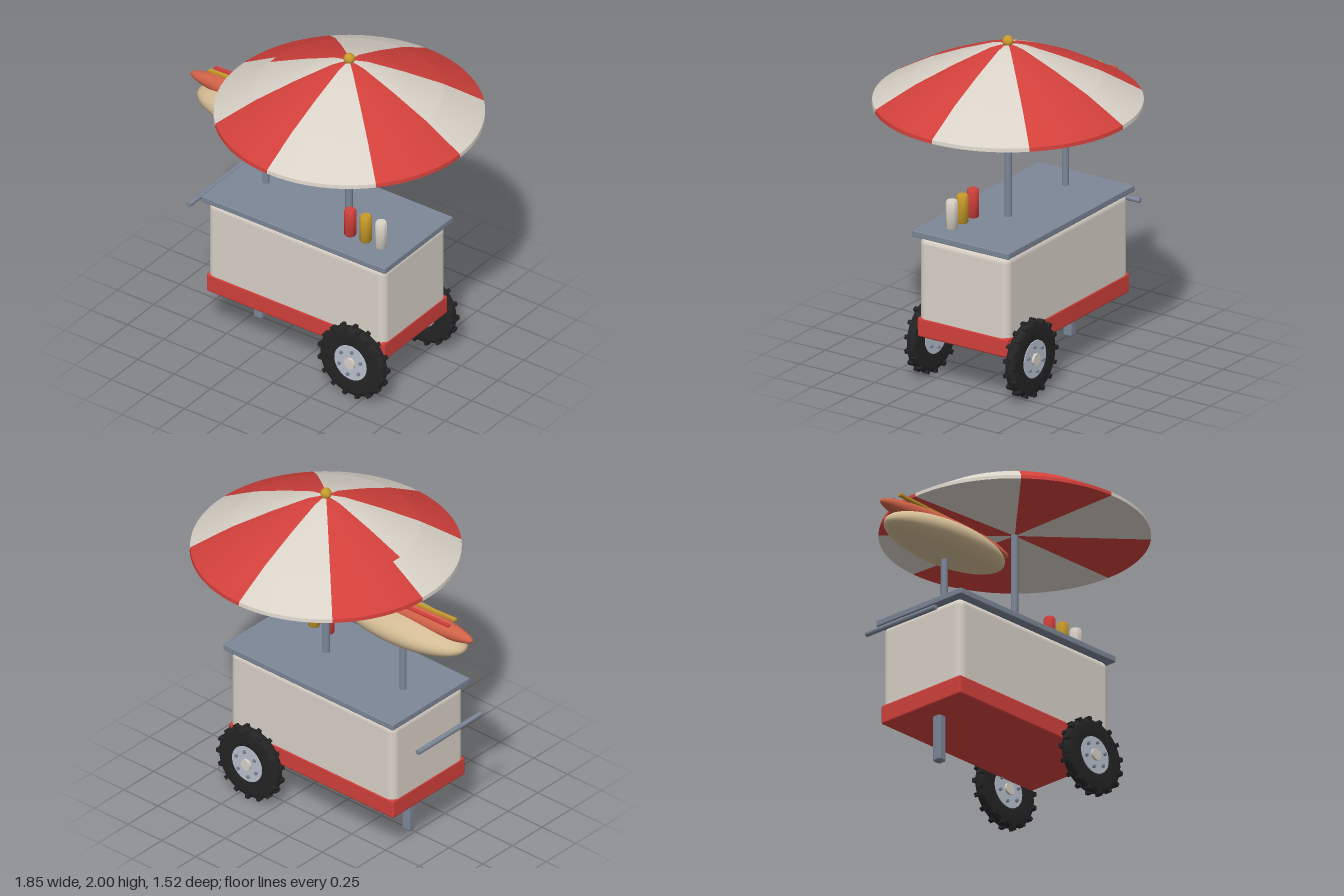
import * as THREE from 'three';
import { toCreasedNormals } from 'three/addons/utils/BufferGeometryUtils.js';
import { RoundedBoxGeometry } from 'three/addons/geometries/RoundedBoxGeometry.js';

const mat = (name, color) => {
  const m = new THREE.MeshStandardMaterial({ color });
  m.name = name;
  return m;
};
const V2 = (x, y) => new THREE.Vector2(x, y);

export function createModel() {
  const red = mat('red paint', 0xd2403b);
  const cream = mat('cream paint', 0xd9d2c8);
  const steel = mat('steel', 0x7d8797);
  const yellow = mat('mustard yellow', 0xc79a2a);
  const bunTan = mat('bun tan', 0xd2bb94);
  const sausagePink = mat('sausage', 0xcf6248);
  const rubber = mat('rubber', 0x242424);
  const rimSilver = mat('rim silver', 0xb9c2ce);

  const root = new THREE.Group();
  root.name = 'foodCart';

  const add = (name, geo, material, x = 0, y = 0, z = 0, parent = root) => {
    const mesh = new THREE.Mesh(geo, material);
    mesh.name = name;
    mesh.position.set(x, y, z);
    parent.add(mesh);
    return mesh;
  };
  const post = (name, r, y0, y1, x) =>
    add(name, new THREE.CylinderGeometry(r, r, y1 - y0, 20), steel, x, (y0 + y1) / 2, 0);

  // Cart body, red base and counter
  add('body', new RoundedBoxGeometry(1.215, 0.56, 0.6, 4, 0.045), cream, 0.008, 0.6, 0);
  add('base', new RoundedBoxGeometry(1.222, 0.115, 0.608, 2, 0.012), red, 0.008, 0.3375, 0);
  add('counter', new RoundedBoxGeometry(1.26, 0.038, 0.65, 2, 0.006), steel, 0.01, 0.9, 0);

  // Support leg and push handle
  add('leg', new RoundedBoxGeometry(0.056, 0.29, 0.056, 3, 0.012), steel, -0.45, 0.15, 0);
  add('handle', new THREE.CylinderGeometry(0.015, 0.015, 0.53, 10), steel, -0.755, 0.77, -0.005)
    .rotation.x = Math.PI / 2;

  // Posts
  post('umbrellaPost', 0.021, 0.91, 1.62, 0.16);
  post('signPost', 0.02, 0.91, 1.35, -0.41);

  // Striped canopy: closed wedges, split in an outer and an inner ring
  const canopy = new THREE.Group();
  canopy.name = 'umbrellaCanopy';
  canopy.position.x = 0.162;
  root.add(canopy);
  const outer = [V2(0, 1.6), V2(0.76, 1.6), V2(0.757, 1.622), V2(0.64, 1.69), V2(0.525, 1.755)];
  const inner = [V2(0.525, 1.755), V2(0.31, 1.853), V2(0.1, 1.938), V2(0.04, 1.95), V2(0, 1.95)];
  const ring = (name, profile, midAngle) => {
    const angles = [0, 43, 91.5, 134, midAngle, 226, 268.5, 317, 360];
    for (let i = 0; i < 8; i++) {
      const start = THREE.MathUtils.degToRad(90 - angles[i + 1]);
      const sweep = THREE.MathUtils.degToRad(angles[i + 1] - angles[i]);
      const geo = toCreasedNormals(new THREE.LatheGeometry(profile, 10, start, sweep), 0.6);
      add(name + (i + 1), geo, i % 2 ? cream : red, 0, 0, 0, canopy);
    }
  };
  ring('canopyOuterPanel', outer, 183.5);
  ring('canopyInnerPanel', inner, 177);
  add('finial', new THREE.SphereGeometry(0.032, 24, 16), yellow, 0.162, 1.968, 0);

  // Giant hot dog sign
  const ellipsoid = (name, m, y, rx, ry, rz) =>
    add(name, new THREE.SphereGeometry(1, 40, 24).rotateZ(Math.PI / 2).scale(rx, ry, rz), m, -0.41, y, 0);
  ellipsoid('bun', bunTan, 1.364, 0.455, 0.106, 0.18);
  ellipsoid('sausage', sausagePink, 1.45, 0.517, 0.068, 0.07);
  const sauce = (name, m, y, z, turn) => {
    add(name, new THREE.BoxGeometry(0.755, 0.013, 0.022), m, -0.412, y, z).rotation.y = turn;
  };
  sauce('mustardStripe', yellow, 1.527, -0.008, 0.06);
  sauce('ketchupStripe', red, 1.515, -0.05, 0.02);

  // Sauce bottles
  const bottle = [V2(0, 0), V2(0.03, 0), V2(0.034, 0.006), V2(0.034, 0.158), V2(0.028, 0.168), V2(0, 0.168)];
  [['ketchupBottle', red], ['mustardBottle', yellow], ['mayoBottle', cream]].forEach(([name, m], i) =>
    add(name, toCreasedNormals(new THREE.LatheGeometry(bottle, 24), 0.9), m, 0.28 + i * 0.106, 0.92, 0.155));

  // Wheels, with the axis along z
  const tyre = [V2(0.105, -0.025), V2(0.12, -0.033), V2(0.19, -0.033), V2(0.21, -0.026), V2(0.218, -0.012),
    V2(0.218, 0.012), V2(0.21, 0.026), V2(0.19, 0.033), V2(0.12, 0.033), V2(0.105, 0.025)];
  const disc = (r, depth, n = 32) => new THREE.CylinderGeometry(r, r, depth, n).rotateX(Math.PI / 2);
  for (const side of [1, -1]) {
    const wheel = new THREE.Group();
    wheel.name = side > 0 ? 'frontWheel' : 'backWheel';
    wheel.position.set(0.43, 0.23, side * 0.331);
    root.add(wheel);
    add('tyre', new THREE.LatheGeometry(tyre, 48).rotateX(Math.PI / 2), rubber, 0, 0, 0, wheel);
    add('rim', disc(0.11, 0.064), rimSilver, 0, 0, 0, wheel);
    add('hubCap', disc(0.034, 0.092, 20), cream, 0, 0, 0, wheel);
    // Tread lugs, staggered between both edges
    for (let i = 0; i < 32; i++) {
      const a = (i / 32) * Math.PI * 2;
      const lug = add('treadLug', new THREE.BoxGeometry(0.024, 0.026, 0.034), rubber,
        Math.cos(a) * 0.213, Math.sin(a) * 0.213, i % 2 ? 0.018 : -0.018, wheel);
      lug.rotation.z = a - Math.PI / 2;
    }
    // Wheel bolts
    for (let i = 0; i < 6; i++) {
      const a = ((i + 0.33) / 6) * Math.PI * 2;
      add('bolt', disc(0.01, 0.088, 8), steel, Math.cos(a) * 0.078, Math.sin(a) * 0.078, 0, wheel);
    }
  }
  // Axle
  add('axle', disc(0.02, 0.62, 12), steel, 0.43, 0.3, 0);

  return root;
}
